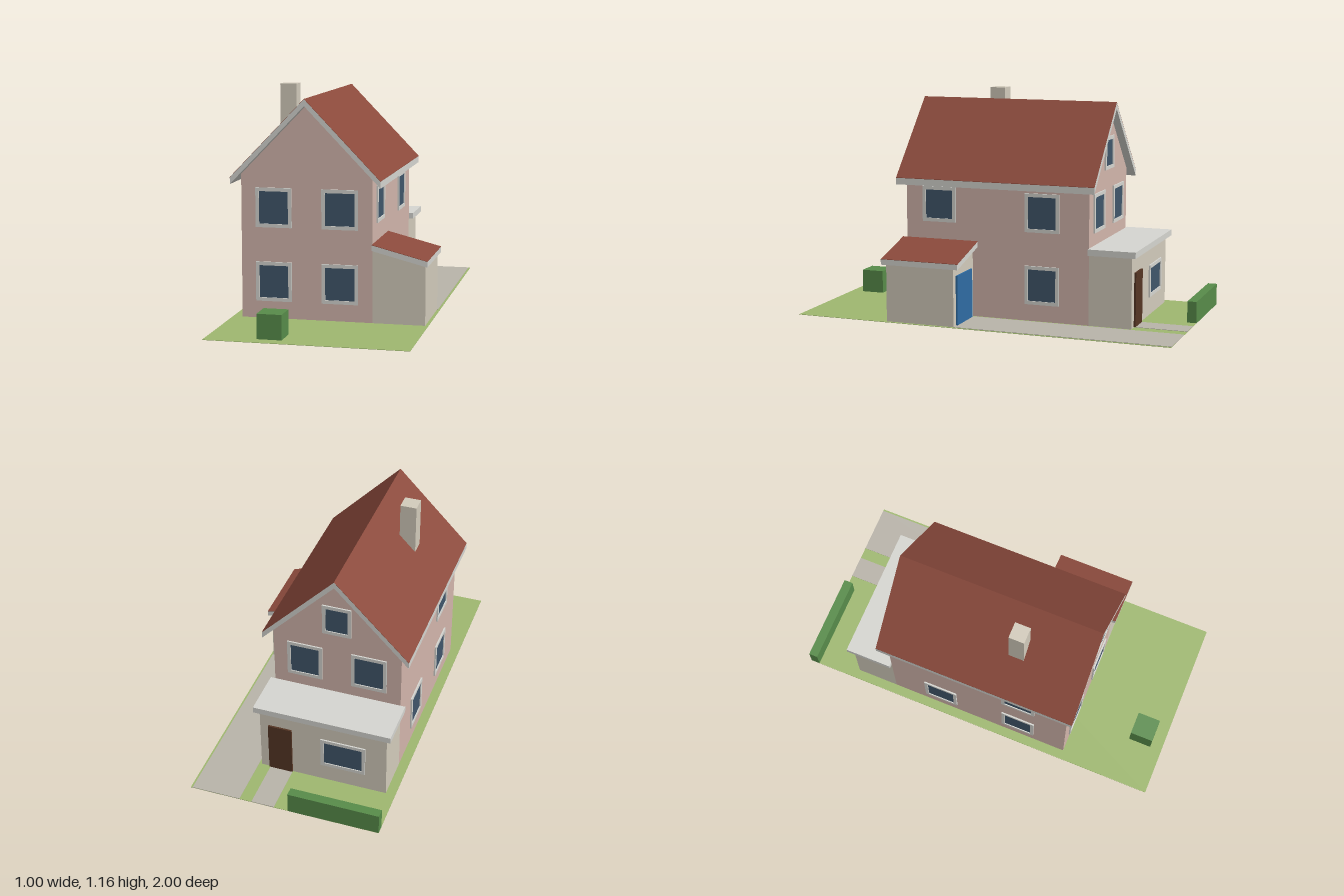
import * as THREE from 'three';

const mat = (color) => new THREE.MeshStandardMaterial({ color });

export function createModel() {
  const model = new THREE.Group();
  model.name = 'house';
  const M = {
    lawn: mat(0x9fb870), paving: mat(0xb9b4aa), wall: mat(0xd3b6ac), cream: mat(0xd3ccbc),
    roof: mat(0x8b4a3c), trim: mat(0xd6d6d1), glass: mat(0x40566b), hedge: mat(0x588c4a),
    brown: mat(0x553524), blue: mat(0x2f6ca3),
  };

  const add = (name, geometry, material, parent = model) => {
    const mesh = new THREE.Mesh(geometry, material);
    mesh.name = name;
    parent.add(mesh);
    return mesh;
  };
  // Box given by its lower and upper limits on each axis
  const box = (name, material, x0, x1, y0, y1, z0, z1) => {
    const g = new THREE.BoxGeometry(x1 - x0, y1 - y0, z1 - z0);
    g.translate((x0 + x1) / 2, (y0 + y1) / 2, (z0 + z1) / 2);
    return add(name, g, material);
  };
  // Outline in x and y, extended from z0 to z1
  const prism = (name, material, points, z0, z1) => {
    const shape = new THREE.Shape(points.map(([x, y]) => new THREE.Vector2(x, y)));
    const g = new THREE.ExtrudeGeometry(shape, { depth: z1 - z0, bevelEnabled: false });
    g.translate(0, 0, z0);
    return add(name, g, material);
  };

  // Ground
  box('lawn', M.lawn, -0.5, 0.5, 0, 0.002, -1, 1);
  box('driveway', M.paving, 0.235, 0.49, 0, 0.004, -1, 0.13);
  box('gardenPath', M.paving, 0.05, 0.17, 0, 0.004, -1, -0.725);

  // Main house with gable ends
  const ridge = -0.115;
  prism('houseWalls', M.wall,
    [[-0.45, 0], [0.22, 0], [0.22, 0.73], [ridge, 1.076], [-0.45, 0.73]], -0.5, 0.5);

  // Pitched roof: pale slab with a thin tiled layer on top
  const gableBand = (y, t) => [
    [ridge - 0.382, y], [ridge, y + 0.395], [ridge + 0.382, y],
    [ridge + 0.382, y + t], [ridge, y + 0.395 + t], [ridge - 0.382, y + t],
  ];
  prism('roofSlab', M.trim, gableBand(0.682, 0.034), -0.54, 0.54);
  prism('roofTiles', M.roof, gableBand(0.716, 0.002), -0.54, 0.54);
  box('chimney', M.cream, -0.325, -0.24, 0.85, 1.162, 0.125, 0.207);

  // Side garage with lean-to roof
  prism('garageWalls', M.cream,
    [[0.22, 0], [0.485, 0], [0.485, 0.303], [0.22, 0.37]], 0.13, 0.5);
  const leanBand = (y, t) => [[0.22, y + 0.071], [0.498, y], [0.498, y + t], [0.22, y + 0.071 + t]];
  prism('garageRoofSlab', M.trim, leanBand(0.299, 0.028), 0.102, 0.524);
  prism('garageRoofTiles', M.roof, leanBand(0.327, 0.002), 0.102, 0.524);
  box('garageDoor', M.blue, 0.253, 0.452, 0.005, 0.26, 0.12, 0.132);

  // Rear extension with flat roof
  box('extensionWalls', M.cream, -0.45, 0.22, 0, 0.368, -0.725, -0.5);
  box('extensionRoof', M.trim, -0.475, 0.245, 0.368, 0.4, -0.75, -0.5);
  box('backDoor', M.brown, 0.05, 0.175, 0.005, 0.283, -0.735, -0.724);

  // Window: frame with a hole, and a pane set back inside it
  const addWindow = (x, y, z, turn, w = 0.185, h = 0.2) => {
    const rim = 0.018;
    const rect = (Type, a, b) => new Type([
      new THREE.Vector2(-a, -b), new THREE.Vector2(a, -b),
      new THREE.Vector2(a, b), new THREE.Vector2(-a, b)]);
    const frame = rect(THREE.Shape, w / 2, h / 2);
    frame.holes.push(rect(THREE.Path, w / 2 - rim, h / 2 - rim));
    const group = new THREE.Group();
    group.name = 'window';
    add('windowFrame', new THREE.ExtrudeGeometry(frame, { depth: 0.008, bevelEnabled: false }), M.trim, group);
    add('windowPane', new THREE.BoxGeometry(w - 2 * rim, h - 2 * rim, 0.006), M.glass, group);
    group.position.set(x, y, z);
    group.rotation.y = turn;
    model.add(group);
  };
  const low = 0.19, high = 0.565, quarter = Math.PI / 2;

  // Front and back windows
  for (const x of [-0.283, 0.055]) {
    addWindow(x, low, 0.5, 0);
    addWindow(x, high, 0.5, 0);
    addWindow(x, high, -0.5, Math.PI);
  }
  addWindow(ridge, 0.85, -0.5, Math.PI, 0.15, 0.17);
  addWindow(-0.222, 0.185, -0.725, Math.PI, 0.235, 0.17);

  // Side windows
  addWindow(0.22, 0.583, 0.315, quarter, 0.185, 0.185);
  addWindow(0.22, high, -0.25, quarter);
  addWindow(0.22, low, -0.25, quarter);
  addWindow(-0.45, high, 0.23, -quarter);
  addWindow(-0.45, low, 0.23, -quarter);
  addWindow(-0.45, low, -0.22, -quarter);

  // Planting
  box('frontBush', M.hedge, -0.25, -0.127, 0, 0.125, 0.813, 0.936);
  box('backHedge', M.hedge, -0.5, -0.025, 0, 0.113, -1, -0.952);

  return model;
}
